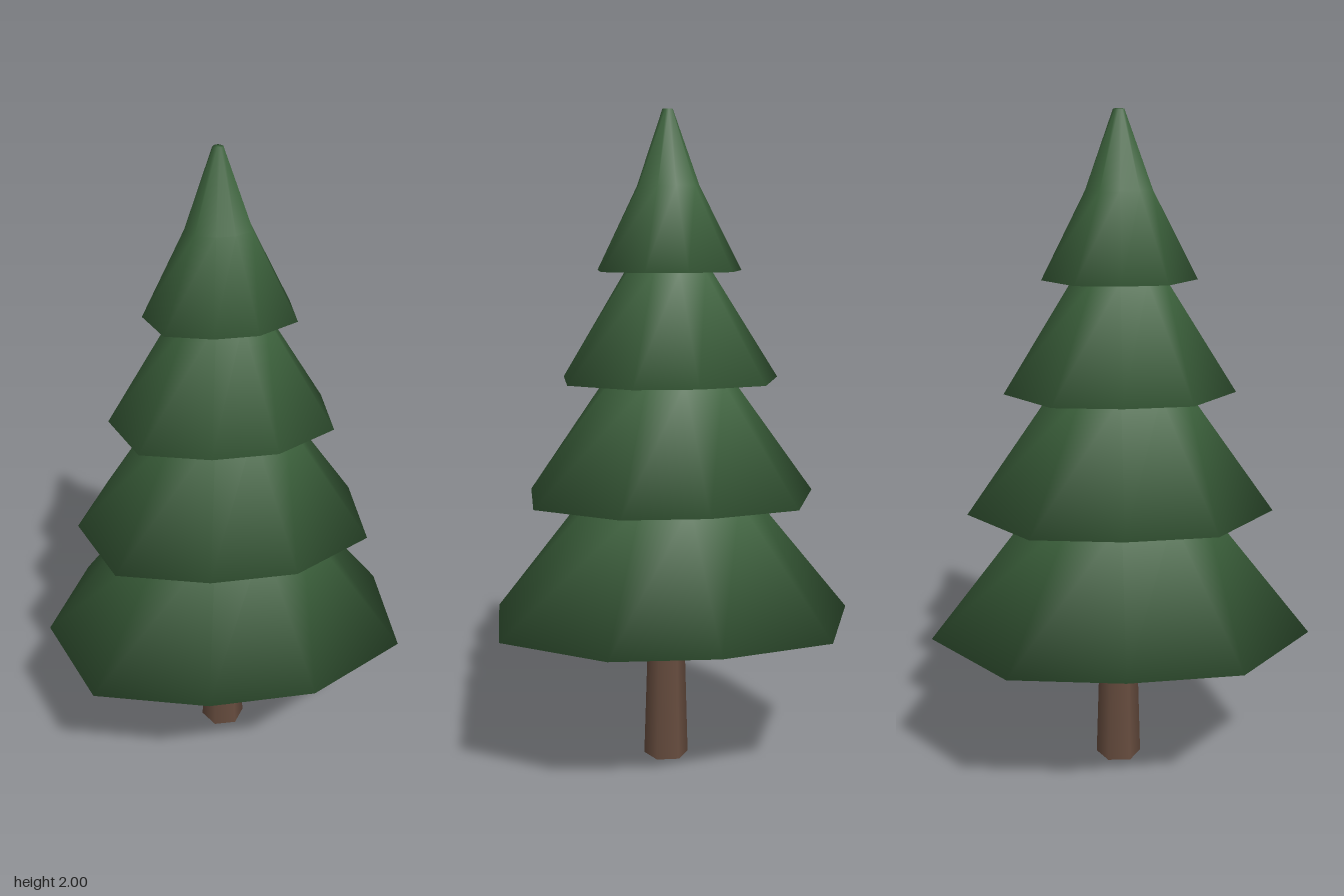
import * as THREE from 'three';

const AXIS_X = -0.055;
// Uneven branch spread: radius every 36 degrees, from right point to left point, then mirrored
const HALF = [0.595, 0.526, 0.5, 0.59, 0.562, 0.49];
const SPREAD = [...HALF, ...HALF.slice(1, 5).reverse()];

// Smooth shell through rings of [scale, height]
function shell(rings) {
  const n = SPREAD.length;
  const positions = [];
  const index = [];
  for (const [scale, y] of rings) {
    SPREAD.forEach((radius, i) => {
      const a = (i / n) * Math.PI * 2;
      positions.push(radius * scale * Math.cos(a), y, radius * scale * Math.sin(a));
    });
  }
  for (let r = 0; r < rings.length - 1; r++) {
    for (let i = 0; i < n; i++) {
      const a = r * n + i;
      const b = r * n + ((i + 1) % n);
      index.push(a, a + n, b, b, a + n, b + n);
    }
  }
  const geometry = new THREE.BufferGeometry();
  geometry.setAttribute('position', new THREE.Float32BufferAttribute(positions, 3));
  geometry.setIndex(index);
  geometry.computeVertexNormals();
  return geometry;
}

export function createModel() {
  const needles = new THREE.MeshStandardMaterial({ color: 0x3d633d });
  needles.name = 'needle green';
  const bark = new THREE.MeshStandardMaterial({ color: 0x664c3e });
  bark.name = 'bark brown';

  const tree = new THREE.Group();
  tree.name = 'pineTree';

  // Tapered six-sided trunk
  const trunk = new THREE.Mesh(new THREE.CylinderGeometry(0.049, 0.07, 0.68, 6), bark);
  trunk.name = 'trunk';
  trunk.position.set(AXIS_X, 0.34, 0);
  tree.add(trunk);

  // Branch tiers: hollow underside, rim, then the slope up to the top
  const tiers = [
    ['bottomTier', [[0.05, 0.66], [1, 0.49], [0.45, 0.865], [0.33, 0.95]]],
    ['lowerMiddleTier', [[0.05, 1.0], [0.795, 0.865], [0.345, 1.215], [0.25, 1.29]]],
    ['upperMiddleTier', [[0.05, 1.32], [0.595, 1.215], [0.235, 1.535], [0.16, 1.6]]],
    ['topTier', [[0.03, 1.61], [0.395, 1.535], [0.17, 1.78], [0.028, 2], [0, 2]]],
  ];
  for (const [name, rings] of tiers) {
    const tier = new THREE.Mesh(shell(rings), needles);
    tier.name = name;
    tier.position.x = AXIS_X;
    tree.add(tier);
  }
  return tree;
}
